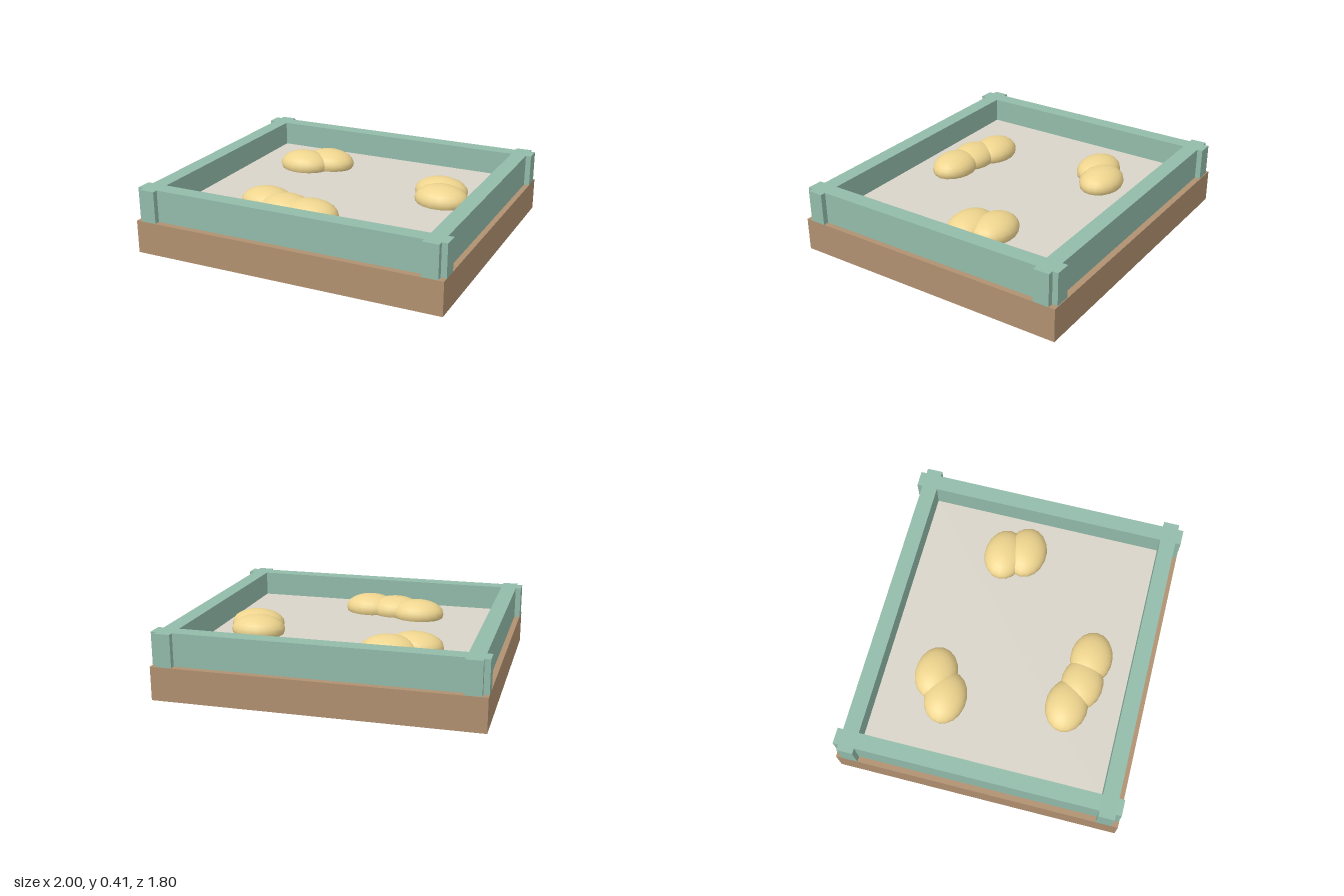
import * as THREE from 'three';

const paint = (color) => new THREE.MeshStandardMaterial({ color });

function addMesh(parent, name, geometry, material, x = 0, y = 0, z = 0) {
  const mesh = new THREE.Mesh(geometry, material);
  mesh.name = name;
  mesh.position.set(x, y, z);
  parent.add(mesh);
  return mesh;
}

// Frame outline: four crossing rails whose ends stick out at every corner
function frameShape(hx, hz, overhang, rail) {
  const a = hx - overhang, b = hz - overhang; // outer rail faces
  const c = a - rail, d = b - rail;           // inner rail faces
  const quarter = [[a, d], [hx, d], [hx, b], [a, b], [a, hz], [c, hz], [c, b]];
  const points = [];
  for (const [sx, sz] of [[1, 1], [-1, 1], [-1, -1], [1, -1]]) {
    const corner = quarter.map(([x, z]) => new THREE.Vector2(x * sx, z * sz));
    points.push(...(sx * sz > 0 ? corner : corner.reverse()));
  }
  const shape = new THREE.Shape(points);
  shape.holes.push(new THREE.Path([[-c, -d], [-c, d], [c, d], [c, -d]].map(([x, z]) => new THREE.Vector2(x, z))));
  return shape;
}

export function createModel() {
  const group = new THREE.Group();
  group.name = 'tray';
  const baseTop = 0.21, frameTop = 0.415, floorTop = 0.255;

  // Solid base and the thin floor inside the frame
  addMesh(group, 'base', new THREE.BoxGeometry(2, baseTop, 1.8), paint(0xb09070), 0, baseTop / 2, 0);
  const floorHeight = floorTop - baseTop;
  addMesh(group, 'floor', new THREE.BoxGeometry(1.73, floorHeight, 1.53), paint(0xd8d4c8), 0, baseTop + floorHeight / 2, 0);

  // Rail frame
  const frame = new THREE.ExtrudeGeometry(frameShape(1, 0.895, 0.035, 0.1), {
    depth: frameTop - baseTop, bevelEnabled: false,
  });
  frame.rotateX(-Math.PI / 2);
  addMesh(group, 'frame', frame, paint(0x92bbaa), 0, baseTop, 0);

  // Clusters of overlapping rounded lumps, given as [x, z]
  const lump = new THREE.SphereGeometry(1, 18, 12).scale(0.175, 0.09, 0.135);
  const lumpPaint = paint(0xeed48e);
  const clusters = {
    backCluster: [[-0.34, -0.43], [-0.48, -0.33]],
    sideCluster: [[0.57, -0.215], [0.62, -0.08]],
    frontCluster: [[-0.345, 0.422], [-0.18, 0.483], [0, 0.503]],
  };
  for (const [name, spots] of Object.entries(clusters)) {
    const cluster = new THREE.Group();
    cluster.name = name;
    spots.forEach(([x, z], i) => addMesh(cluster, `lump${i + 1}`, lump, lumpPaint, x, 0.285, z));
    group.add(cluster);
  }
  return group;
}
